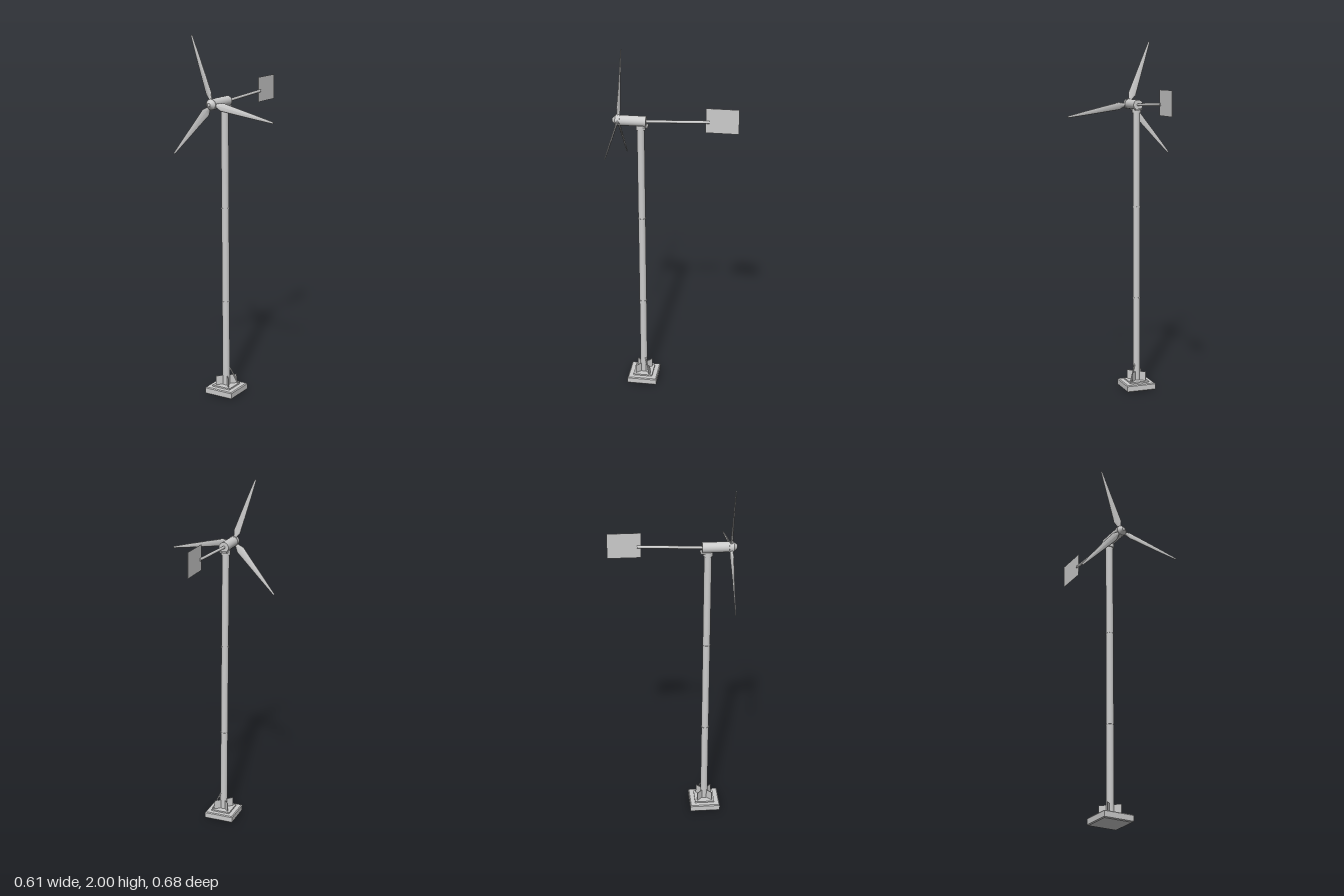
import * as THREE from 'three';

const AXIS_X = -0.061, TOWER_Z = 0.187, HUB_Y = 1.646, HUB_Z = 0.31;
const material = new THREE.MeshStandardMaterial({ color: 0xcccccc });
const flat = new THREE.MeshStandardMaterial({ color: 0xcccccc, flatShading: true });
const thin = new THREE.MeshStandardMaterial({ color: 0xcccccc, side: THREE.DoubleSide });

function add(parent, name, geometry, x, y, z, mat = material) {
  const mesh = new THREE.Mesh(geometry, mat);
  mesh.name = name;
  mesh.position.set(x, y, z);
  parent.add(mesh);
  return mesh;
}

// Square slab whose bottom and top widths may differ
function slab(bottom, top, height) {
  return new THREE.CylinderGeometry(top / Math.SQRT2, bottom / Math.SQRT2, height, 4).rotateY(Math.PI / 4);
}

// Tapered, twisted blade growing along +y from the hub axis
function bladeGeometry() {
  const length = 0.373;
  // radius fraction, half chord, half thickness, twist
  const stations = [
    [0, 0.009, 0.009, 0.3], [0.09, 0.012, 0.008, 0.3], [0.16, 0.023, 0.006, 0.28],
    [0.4, 0.018, 0.0045, 0.2], [0.7, 0.012, 0.0035, 0.1], [1, 0.005, 0.0025, 0.03],
  ];
  const geometry = new THREE.CylinderGeometry(1, 1, 1, 12, stations.length - 1);
  const p = geometry.attributes.position;
  for (let i = 0; i < p.count; i++) {
    const row = Math.round((p.getY(i) + 0.5) * (stations.length - 1));
    const [r, chord, thick, twist] = stations[row];
    const x = p.getX(i) * chord, z = p.getZ(i) * thick;
    const c = Math.cos(twist), s = Math.sin(twist);
    p.setXYZ(i, x * c - z * s, r * length, x * s + z * c);
  }
  geometry.computeVertexNormals();
  return geometry;
}

export function createModel() {
  const model = new THREE.Group();
  model.name = 'windTurbine';

  // Foundation with chamfered rims and a smaller foot plate
  const base = new THREE.Group();
  base.name = 'base';
  base.position.set(AXIS_X, 0, TOWER_Z);
  model.add(base);
  add(base, 'foundationLowerChamfer', slab(0.162, 0.172, 0.005), 0, 0.0025, 0, flat);
  add(base, 'foundationBlock', slab(0.172, 0.172, 0.03), 0, 0.02, 0, flat);
  add(base, 'foundationUpperChamfer', slab(0.172, 0.162, 0.005), 0, 0.0375, 0, flat);
  add(base, 'footPlate', slab(0.112, 0.112, 0.008), 0, 0.044, 0, flat);

  // Crossed stiffening fins at the tower foot
  for (const side of [-1, 1]) {
    const fin = add(base, 'footFin', new THREE.BoxGeometry(0.12, 0.052, 0.004), 0, 0.074, 0, flat);
    fin.rotation.y = side * Math.PI / 4;
  }

  // Cable leaving the tower and entering the ground at the back corner
  const cablePath = new THREE.CatmullRomCurve3([
    [0.012, 0.15, -0.01], [0.023, 0.125, -0.018], [0.04, 0.08, -0.032], [0.053, 0.044, -0.042],
  ].map(v => new THREE.Vector3(...v)));
  add(base, 'cable', new THREE.TubeGeometry(cablePath, 16, 0.004, 8), 0, 0, 0);

  // Tower in three sections with joint rings
  const joints = [0.048, 0.535, 1.065, 1.605];
  for (let i = 0; i < 3; i++) {
    const h = joints[i + 1] - joints[i];
    add(model, 'towerSection', new THREE.CylinderGeometry(0.0205, 0.0205, h, 24), AXIS_X, joints[i] + h / 2, TOWER_Z);
  }
  for (const y of [0.535, 1.065]) {
    add(model, 'towerJoint', new THREE.CylinderGeometry(0.0225, 0.0225, 0.006, 24), AXIS_X, y, TOWER_Z);
  }
  add(model, 'yawCollar', new THREE.CylinderGeometry(0.026, 0.026, 0.026, 24), AXIS_X, 1.612, TOWER_Z);

  // Nacelle and its rear bracket
  add(model, 'nacelle', new THREE.CylinderGeometry(0.028, 0.028, 0.146, 32).rotateX(Math.PI / 2), AXIS_X, HUB_Y, 0.229);
  add(model, 'rearBracket', new THREE.BoxGeometry(0.043, 0.008, 0.05), AXIS_X, 1.62, 0.171, flat);

  // Rotor: hub, nose cone and three blades
  const rotor = new THREE.Group();
  rotor.name = 'rotor';
  rotor.position.set(AXIS_X, HUB_Y, HUB_Z);
  model.add(rotor);
  add(rotor, 'hub', new THREE.CylinderGeometry(0.03, 0.03, 0.024, 24).rotateX(Math.PI / 2), 0, 0, 0);
  add(rotor, 'noseCone', new THREE.CylinderGeometry(0.009, 0.028, 0.02, 24).rotateX(Math.PI / 2), 0, 0, 0.022);
  const blade = bladeGeometry();
  for (let i = 0; i < 3; i++) {
    const mesh = add(rotor, 'blade', blade, 0, 0, 0);
    mesh.rotation.z = THREE.MathUtils.degToRad(19.3 + i * 120);
  }

  // Tail boom, rising slightly to the vane
  const start = new THREE.Vector3(AXIS_X, HUB_Y, 0.165), end = new THREE.Vector3(AXIS_X, 1.661, -0.184);
  const boom = add(model, 'tailBoom', new THREE.CylinderGeometry(0.008, 0.008, start.distanceTo(end), 16), 0, 0, 0);
  boom.position.copy(start).lerp(end, 0.5);
  boom.quaternion.setFromUnitVectors(new THREE.Vector3(0, 1, 0), end.clone().sub(start).normalize());
  add(model, 'tailVane', new THREE.BoxGeometry(0.0015, 0.138, 0.178), AXIS_X, 1.669, -0.253, thin);

  return model;
}
